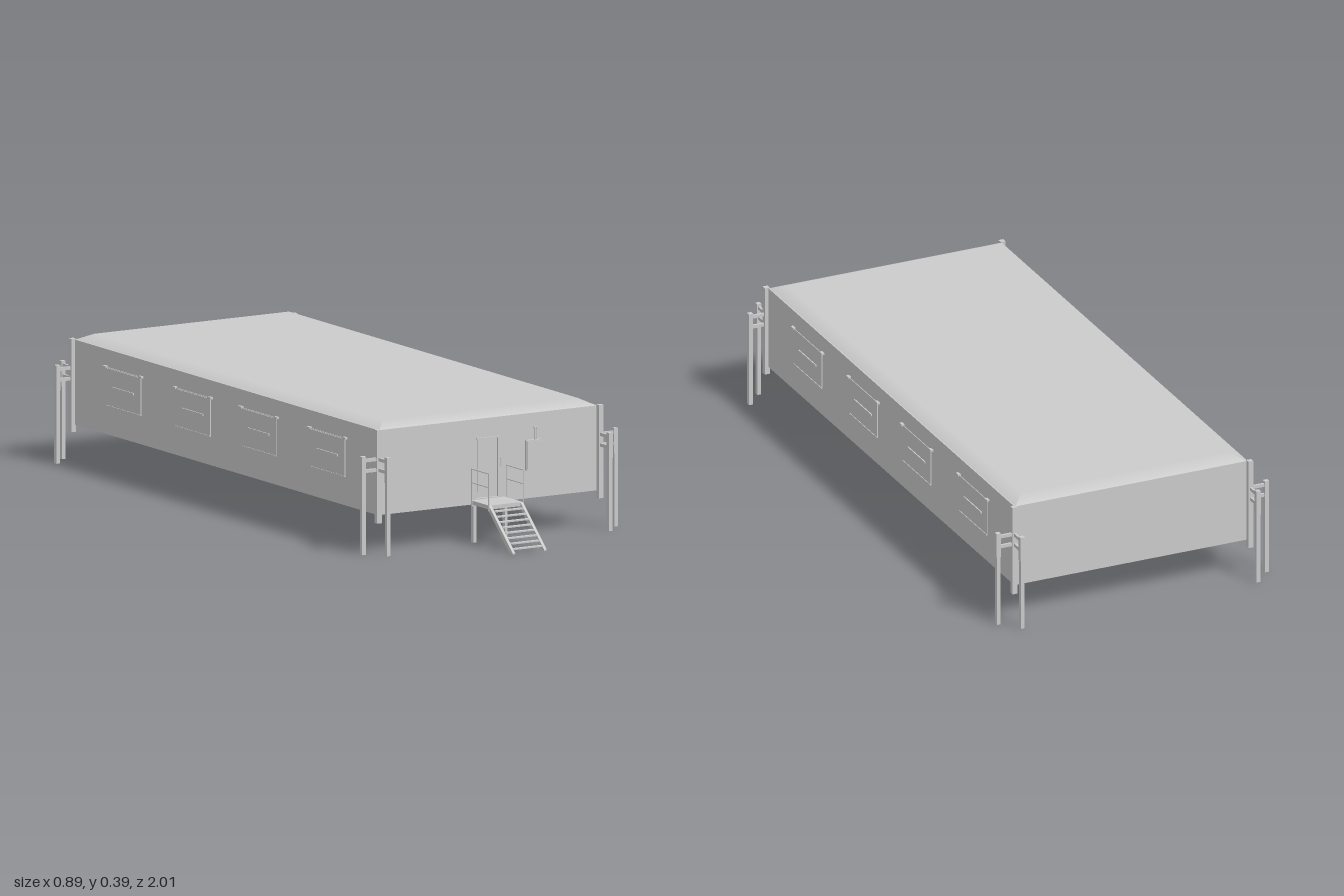
import * as THREE from 'three';

const mat = new THREE.MeshStandardMaterial({ color: 0xcccccc });
const W = 0.38, Z0 = -0.94, Z1 = 0.765, Y0 = 0.112, Y1 = 0.367;
const MID = (Z0 + Z1) / 2;

function add(parent, name, geometry) {
  const mesh = new THREE.Mesh(geometry, mat);
  mesh.name = name;
  parent.add(mesh);
  return mesh;
}

// Box given by its centre and size
function box(parent, name, [x, y, z], [w, h, d]) {
  const mesh = add(parent, name, new THREE.BoxGeometry(w, h, d));
  mesh.position.set(x, y, z);
  return mesh;
}

// Thin round bar between two points
function bar(parent, name, a, b, r) {
  const p = new THREE.Vector3(...a), q = new THREE.Vector3(...b);
  const mesh = add(parent, name, new THREE.CylinderGeometry(r, r, p.distanceTo(q), 8));
  mesh.position.copy(p).add(q).multiplyScalar(0.5);
  mesh.quaternion.setFromUnitVectors(new THREE.Vector3(0, 1, 0), q.sub(p).normalize());
  return mesh;
}

function group(parent, name) {
  const g = new THREE.Group();
  g.name = name;
  parent.add(g);
  return g;
}

// Shallow hipped roof, its slopes shading softly into the flat top
function roofGeometry() {
  const inset = 0.043, rise = 0.02;
  const pos = [], nor = [], index = [];
  const corners = [[-1, 1], [1, 1], [1, -1], [-1, -1]];
  const hz = (Z1 - Z0) / 2;
  const outer = ([x, z]) => [x * (W - 0.004), Y1, MID + z * hz];
  const inner = ([x, z]) => [x * (W - inset), Y1 + rise, MID + z * (hz - inset)];
  const quad = (points, normals) => {
    const n = pos.length / 3;
    points.forEach((p) => pos.push(...p));
    normals.forEach((v) => nor.push(...v));
    index.push(n, n + 1, n + 2, n, n + 2, n + 3);
  };
  const up = [0, 1, 0];
  corners.forEach((a, i) => {
    const b = corners[(i + 1) % 4];
    const tilt = new THREE.Vector3((a[0] + b[0]) / 2 * rise, inset, (a[1] + b[1]) / 2 * rise)
      .normalize().toArray();
    quad([outer(a), outer(b), inner(b), inner(a)], [tilt, tilt, up, up]);
  });
  quad(corners.map(inner), [up, up, up, up]);
  const g = new THREE.BufferGeometry();
  g.setAttribute('position', new THREE.Float32BufferAttribute(pos, 3));
  g.setAttribute('normal', new THREE.Float32BufferAttribute(nor, 3));
  g.setIndex(index);
  return g;
}

function rectangle(Type, x0, y0, x1, y1) {
  return new Type([[x0, y0], [x1, y0], [x1, y1], [x0, y1]].map((p) => new THREE.Vector2(...p)));
}

function buildShelter(root) {
  const g = group(root, 'shelter');
  const recess = 0.008;
  box(g, 'body', [0, (Y0 + Y1) / 2, (Z0 + Z1 - recess) / 2], [2 * W, Y1 - Y0, Z1 - Z0 - recess]);
  // Front wall with the door recess cut out
  const wall = rectangle(THREE.Shape, -W, Y0, W, Y1);
  wall.holes.push(rectangle(THREE.Path, -0.041, 0.128, 0.036, 0.309));
  const front = add(g, 'frontWall',
    new THREE.ExtrudeGeometry(wall, { depth: recess, bevelEnabled: false }));
  front.position.z = Z1 - recess;
  add(g, 'roof', roofGeometry());
  // Door leaf, drip strip and handle
  box(g, 'door', [0, 0.225, Z1 - recess], [0.064, 0.16, 0.006]);
  box(g, 'doorDripStrip', [-0.002, 0.308, Z1 + 0.002], [0.077, 0.004, 0.006]);
  bar(g, 'doorHandle', [0.042, 0.218, Z1 + 0.006], [0.042, 0.247, Z1 + 0.006], 0.0018);
  // Wall cabinet with its raised cover and pipes
  box(g, 'cabinet', [0.154, 0.242, Z1 + 0.005], [0.052, 0.091, 0.01]);
  box(g, 'cabinetCover', [0.154, 0.242, Z1 + 0.0105], [0.045, 0.084, 0.002]);
  for (const x of [0.16, 0.166]) {
    bar(g, 'cabinetPipe', [x, 0.28, Z1 + 0.004], [x, 0.322, Z1 + 0.004], 0.0017);
    box(g, 'pipeCap', [x, 0.322, Z1 + 0.004], [0.005, 0.006, 0.008]);
  }
}

// Corner post with two outrigger legs, one out to the side and one out to the end
function buildCorner(root, sx, sz) {
  const g = group(root, 'cornerSupport');
  const x = 0.3845 * sx;
  const wallZ = sz > 0 ? Z1 : Z0;
  const z = wallZ + 0.006 * sz;
  box(g, 'cornerPost', [x, 0.23, z], [0.016, 0.28, 0.016]);
  const legs = [[0.437 * sx, z], [x, wallZ + 0.0605 * sz]];
  legs.forEach(([lx, lz], i) => {
    box(g, 'legSleeve', [lx, 0.257, lz], [0.014, 0.076, 0.014]);
    box(g, 'legTube', [lx, 0.11, lz], [0.0125, 0.22, 0.0125]);
    for (const y of [0.25, 0.282]) {
      const size = i === 0
        ? [Math.abs(lx - x), 0.01, 0.007]
        : [0.007, 0.01, Math.abs(lz - z)];
      box(g, 'legArm', [(lx + x) / 2, y, (lz + z) / 2], size);
    }
  });
}

// Side shutter hanging from a rod
function buildShutter(root, side, z) {
  const g = group(root, 'shutter');
  const x = W * side;
  box(g, 'shutterPanel', [x, 0.255, z], [0.006, 0.112, 0.19]);
  bar(g, 'shutterRod', [x + 0.004 * side, 0.314, z - 0.1], [x + 0.004 * side, 0.314, z + 0.1], 0.0015);
  box(g, 'shutterHandle', [x + 0.004 * side, 0.257, z], [0.005, 0.006, 0.12]);
  box(g, 'shutterSill', [x + 0.002 * side, 0.199, z], [0.006, 0.003, 0.19]);
  for (const end of [-1, 1]) {
    box(g, 'shutterHinge', [x + 0.004 * side, 0.315, z + end * 0.1], [0.01, 0.006, 0.016]);
  }
}

function buildStairs(root) {
  const g = group(root, 'entryStairs');
  const zEdge = 0.866, deck = 0.125;
  box(g, 'landing', [0, deck - 0.006, (Z1 + zEdge) / 2], [0.116, 0.012, zEdge - Z1]);
  // Slanted side profile of a stringer, drawn with z across and y up
  const profile = new THREE.Shape([[zEdge, deck], [1, 0.004], [1, 0], [0.983, 0], [zEdge - 0.006, 0.112]]
    .map((p) => new THREE.Vector2(...p)));
  for (const s of [-1, 1]) {
    const stringer = add(g, 'stringer',
      new THREE.ExtrudeGeometry(profile, { depth: 0.009, bevelEnabled: false }));
    stringer.rotation.y = -Math.PI / 2;
    stringer.position.x = 0.0545 * s + 0.0045;
    box(g, 'landingLeg', [0.0545 * s, 0.056, Z1 + 0.009], [0.01, 0.112, 0.012]);
    // Hand rails
    const x = 0.06 * s;
    for (const z of [Z1 + 0.008, zEdge + 0.002]) {
      bar(g, 'railPost', [x, 0.108, z], [x, 0.222, z], 0.0022);
    }
    for (const y of [0.18, 0.221]) {
      bar(g, 'handRail', [x, y, Z1 + 0.008], [x, y, zEdge + 0.002], 0.002);
    }
  }
  const steps = 8;
  for (let i = 0; i < steps; i++) {
    const y = 0.013 + i * 0.0137;
    const z = 0.986 - i * 0.0151;
    box(g, 'step', [0, y, z], [0.1, 0.004, 0.013]);
  }
}

export function createModel() {
  const root = new THREE.Group();
  root.name = 'portableShelter';
  buildShelter(root);
  for (const sx of [-1, 1]) {
    for (const sz of [-1, 1]) buildCorner(root, sx, sz);
    for (const z of [-0.66, -0.27, 0.1, 0.485]) buildShutter(root, sx, z);
  }
  buildStairs(root);
  return root;
}
